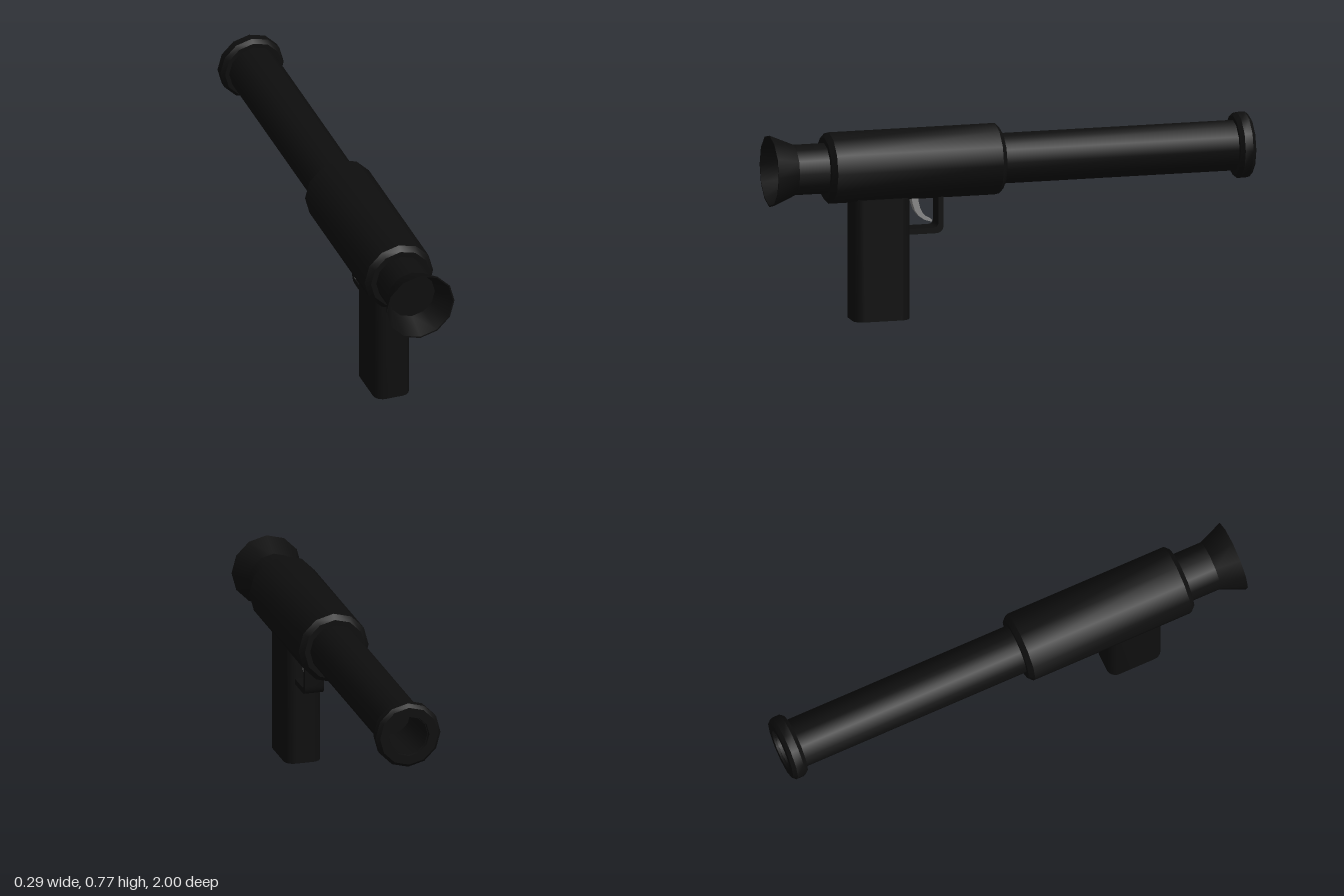
import * as THREE from 'three';
import { toCreasedNormals } from 'three/addons/utils/BufferGeometryUtils.js';

const AXIS_Y = 0.625; // height of the barrel axis
const GRIP_X = 0.0115; // the grip sits slightly off centre

export function createModel() {
  const group = new THREE.Group();
  const black = new THREE.MeshStandardMaterial({ name: 'black', color: 0x0e0e0e });
  const grey = new THREE.MeshStandardMaterial({ name: 'grey', color: 0x8a8a8a });

  const add = (name, geometry, material = black) => {
    const mesh = new THREE.Mesh(toCreasedNormals(geometry, 0.6), material);
    mesh.name = name;
    group.add(mesh);
  };

  // Twelve-sided turned part along z; profile points are [radius, z]
  const turned = (name, profile) => {
    const points = profile.map(([r, z]) => new THREE.Vector2(r, z));
    const geometry = new THREE.LatheGeometry(points, 12);
    geometry.rotateX(Math.PI / 2).translate(0, AXIS_Y, 0);
    add(name, geometry);
  };

  // Side profile drawn in (z, y), extruded across x around the grip centre
  const sidePlate = (name, shape, width, material) => {
    const geometry = new THREE.ExtrudeGeometry(shape, { depth: width, bevelEnabled: false, curveSegments: 5 });
    geometry.rotateY(-Math.PI / 2).translate(GRIP_X + width / 2, 0, 0);
    add(name, geometry, material);
  };

  // Tube with a bore in the muzzle end
  turned('barrel', [[0, -0.75], [0.08, -0.75], [0.08, -0.99], [0.104, -0.99], [0.104, 0.9], [0, 0.9]]);
  turned('muzzleRing', [[0.08, -0.98], [0.085, -1], [0.122, -1], [0.136, -0.985],
    [0.136, -0.952], [0.122, -0.935], [0.1, -0.935]]);
  turned('receiver', [[0.1, 0.04], [0.127, 0.04], [0.147, 0.06], [0.147, 0.752], [0.127, 0.772], [0.1, 0.772]]);
  // Open flared end with a closed floor
  turned('flare', [[0.104, 0.9], [0.147, 1], [0.141, 1], [0.098, 0.905], [0, 0.905]]);

  // Grip: rounded rectangle seen from below, extruded upward
  const w = 0.0755, d = 0.1175, r = 0.04;
  const grip = new THREE.Shape();
  grip.moveTo(-w + r, -d);
  grip.absarc(w - r, -d + r, r, -Math.PI / 2, 0);
  grip.absarc(w - r, d - r, r, 0, Math.PI / 2);
  grip.absarc(-w + r, d - r, r, Math.PI / 2, Math.PI);
  grip.absarc(-w + r, -d + r, r, Math.PI, Math.PI * 1.5);
  const gripGeometry = new THREE.ExtrudeGeometry(grip, { depth: 0.5, bevelEnabled: false, curveSegments: 3 });
  gripGeometry.rotateX(-Math.PI / 2).translate(GRIP_X, 0, 0.5475);
  add('grip', gripGeometry);

  // Trigger guard: bent strip from the grip up to the receiver
  const guard = new THREE.Shape();
  guard.moveTo(0.45, 0.343);
  guard.lineTo(0.32, 0.343);
  guard.quadraticCurveTo(0.286, 0.343, 0.286, 0.38);
  guard.lineTo(0.286, 0.51);
  guard.lineTo(0.308, 0.51);
  guard.lineTo(0.308, 0.39);
  guard.quadraticCurveTo(0.308, 0.366, 0.33, 0.366);
  guard.lineTo(0.45, 0.366);
  sidePlate('triggerGuard', guard, 0.08, black);

  // Curved trigger
  const trigger = new THREE.Shape();
  trigger.moveTo(0.415, 0.51);
  trigger.quadraticCurveTo(0.415, 0.4, 0.33, 0.387);
  trigger.lineTo(0.33, 0.396);
  trigger.quadraticCurveTo(0.388, 0.415, 0.388, 0.51);
  sidePlate('trigger', trigger, 0.04, grey);

  return group;
}
